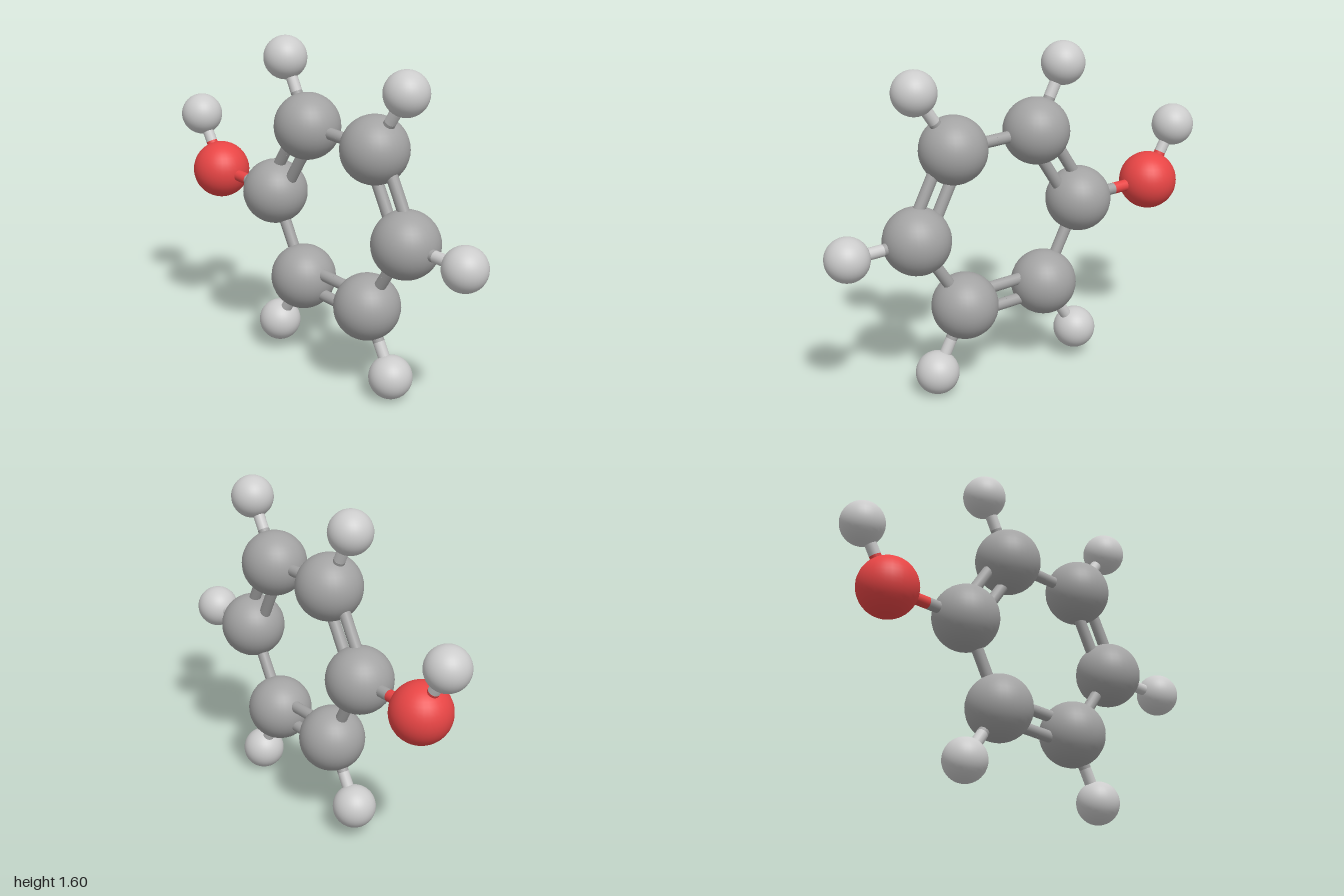
import * as THREE from 'three';

export function createModel() {
  const model = new THREE.Group();
  model.name = 'molecule';

  const kinds = {
    carbon: { radius: 0.158, color: 0xa3a3a3 },
    oxygen: { radius: 0.142, color: 0xe84545 },
    hydrogen: { radius: 0.103, color: 0xcccccc },
  };
  for (const kind of Object.values(kinds)) {
    kind.material = new THREE.MeshStandardMaterial({ color: kind.color });
    kind.geometry = new THREE.SphereGeometry(kind.radius, 32, 20);
  }

  // The whole molecule lies in one slightly tilted plane
  const planeZ = (x, y) => -0.04 * x + 0.01 * (y - 0.8);
  const planeNormal = new THREE.Vector3(0.04, -0.01, 1).normalize();

  function atom(name, type, x, y) {
    const kind = kinds[type];
    const mesh = new THREE.Mesh(kind.geometry, kind.material);
    mesh.name = name;
    mesh.position.set(x, y, planeZ(x, y));
    model.add(mesh);
    return { kind, position: mesh.position };
  }

  // Half of a bond, coloured like the atom it starts from
  function halfBond(from, to, material) {
    const axis = to.clone().sub(from);
    const mesh = new THREE.Mesh(new THREE.CylinderGeometry(0.028, 0.028, axis.length(), 16), material);
    mesh.name = 'halfBond';
    mesh.position.copy(from).add(to).multiplyScalar(0.5);
    mesh.quaternion.setFromUnitVectors(new THREE.Vector3(0, 1, 0), axis.normalize());
    return mesh;
  }

  // One or two parallel rods between a pair of atoms
  function bond(a, b, double = false) {
    const group = new THREE.Group();
    group.name = double ? 'doubleBond' : 'singleBond';
    const side = b.position.clone().sub(a.position).cross(planeNormal).normalize();
    for (const offset of double ? [-0.051, 0.051] : [0]) {
      const start = a.position.clone().addScaledVector(side, offset);
      const end = b.position.clone().addScaledVector(side, offset);
      const middle = start.clone().lerp(end, 0.5);
      group.add(halfBond(start, middle, a.kind.material), halfBond(end, middle, b.kind.material));
    }
    model.add(group);
  }

  // Ring of six carbons with alternating double bonds
  const ring = [
    [-0.326, 0.826], [-0.086, 1.198], [0.356, 1.174],
    [0.553, 0.781], [0.313, 0.412], [-0.126, 0.436],
  ].map(([x, y], i) => atom('carbon' + (i + 1), 'carbon', x, y));
  ring.forEach((carbon, i) => bond(carbon, ring[(i + 1) % 6], i % 2 === 0));

  // Hydrogens on the other five carbons
  [[-0.235, 1.5], [0.543, 1.457], [0.895, 0.763], [0.468, 0.107], [-0.31, 0.149]].forEach(([x, y], i) => {
    bond(ring[i + 1], atom('hydrogen' + (i + 2), 'hydrogen', x, y));
  });

  // Oxygen and its hydrogen on the first carbon
  const oxygen = atom('oxygen', 'oxygen', -0.751, 0.845);
  bond(ring[0], oxygen);
  bond(oxygen, atom('oxygenHydrogen', 'hydrogen', -0.899, 1.11));

  return model;
}
